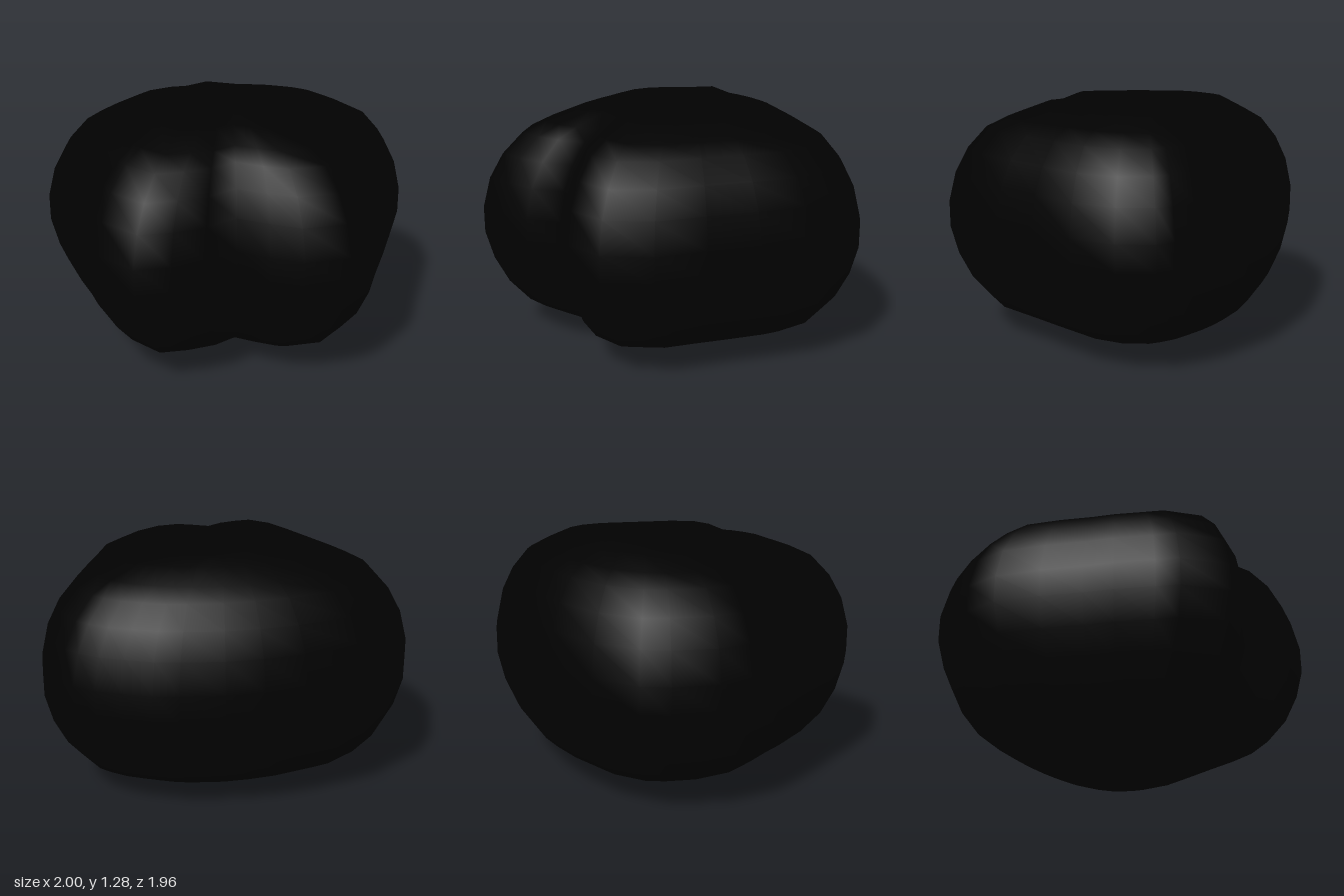
import * as THREE from 'three';

// Plan outline [x, z] at the widest height, clockwise seen from above
const OUTLINE = [
  [-0.27, -0.98], [-0.02, -0.95], [0.27, -0.81], [0.45, -0.69], [0.6, -0.57], [0.75, -0.41],
  [0.83, -0.31], [0.9, -0.18], [0.96, -0.06], [0.99, 0.06], [1, 0.15], [0.95, 0.33], [0.8, 0.51],
  [0.58, 0.65], [0.35, 0.79], [0.13, 0.93], [-0.12, 0.98], [-0.32, 0.87], [-0.4, 0.72],
  [-0.47, 0.56], [-0.66, 0.55], [-0.82, 0.49], [-0.97, 0.4], [-1, 0.15], [-0.97, 0.04],
  [-0.92, -0.15], [-0.87, -0.29], [-0.81, -0.49], [-0.73, -0.7], [-0.61, -0.83], [-0.41, -0.94],
];

// Rounded side profile: [outline scale, height]
const PROFILE = [
  [0, 0], [0.3, 0.03], [0.52, 0.055], [0.68, 0.11], [0.79, 0.165], [0.89, 0.28], [0.96, 0.42], [1, 0.57],
  [1, 0.71], [0.96, 0.87], [0.89, 1.0], [0.79, 1.11], [0.68, 1.165], [0.52, 1.23], [0.3, 1.255], [0, 1.28],
];

// Loft the outline through the profile, closing at the off-centre high and low points
function pebbleGeometry() {
  const n = OUTLINE.length;
  const positions = [];
  const index = [];
  for (const [s, y] of PROFILE) {
    const drift = (1 - s) ** 3;
    const ring = s === 0 ? [[0, 0]] : OUTLINE;
    for (const [x, z] of ring) positions.push(x * s + 0.11 * drift, y, z * s - 0.34 * drift);
  }
  const rings = PROFILE.length - 2;
  const last = 1 + rings * n;
  for (let i = 0; i < n; i++) {
    const j = (i + 1) % n;
    index.push(0, 1 + i, 1 + j);
    for (let r = 0; r < rings - 1; r++) {
      const low = 1 + r * n;
      const up = low + n;
      index.push(low + i, up + i, up + j, low + i, up + j, low + j);
    }
    index.push(last - n + i, last, last - n + j);
  }
  const geometry = new THREE.BufferGeometry();
  geometry.setAttribute('position', new THREE.Float32BufferAttribute(positions, 3));
  geometry.setIndex(index);
  geometry.computeVertexNormals();
  return geometry;
}

export function createModel() {
  const group = new THREE.Group();
  group.name = 'rock';
  const body = new THREE.Mesh(pebbleGeometry(), new THREE.MeshStandardMaterial({ color: 0x010101 }));
  body.name = 'rockBody';
  group.add(body);
  return group;
}
